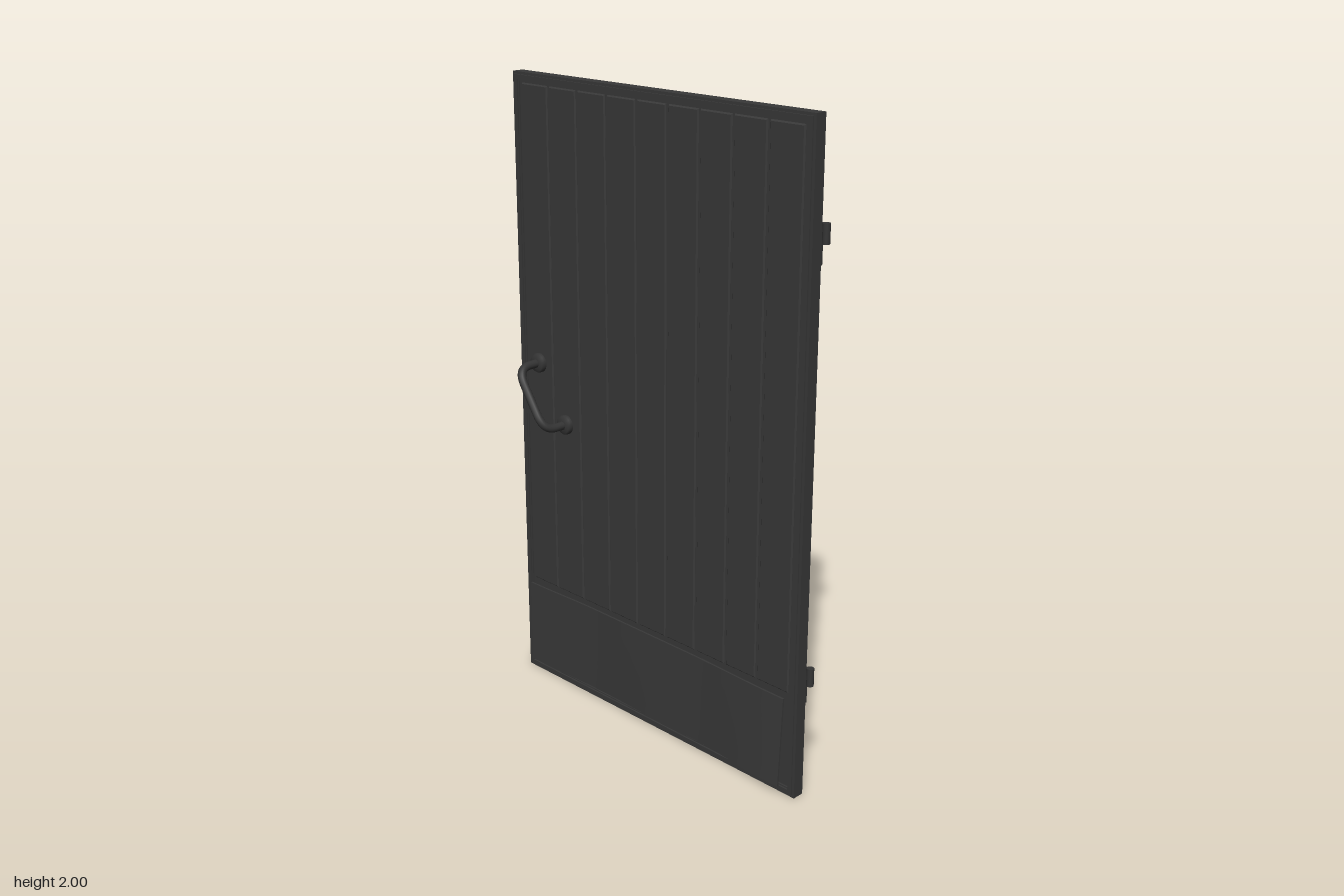
import * as THREE from 'three';

const mat = (name, color) => Object.assign(new THREE.MeshStandardMaterial({ color }), { name });

export function createModel() {
  const door = new THREE.Group();
  door.name = 'door';
  const paint = mat('charcoal paint', 0x383838);
  const iron = mat('dark iron', 0x343434);

  const add = (parent, name, geometry, material, x = 0, y = 0, z = 0) => {
    const mesh = new THREE.Mesh(geometry, material);
    mesh.name = name;
    mesh.position.set(x, y, z);
    parent.add(mesh);
    return mesh;
  };
  const rect = (path, x0, y0, x1, y1) => {
    path.moveTo(x0, y0);
    path.lineTo(x1, y0);
    path.lineTo(x1, y1);
    path.lineTo(x0, y1);
    path.closePath();
    return path;
  };
  // Board with chamfered edges, inset so the outline keeps its full size
  const board = (x0, y0, x1, y1, depth, bevel) =>
    new THREE.ExtrudeGeometry(rect(new THREE.Shape(), x0 + bevel, y0 + bevel, x1 - bevel, y1 - bevel), {
      depth, bevelThickness: bevel, bevelSize: bevel, bevelSegments: 1,
    });

  // Solid leaf of the door
  add(door, 'slab', new THREE.BoxGeometry(1.185, 2, 0.033), paint, -0.0125, 1, -0.0085);

  // Raised, stepped border around the front
  const border = (inset, width, depth) => {
    const x0 = -0.605 + inset, x1 = 0.58 - inset, y0 = inset, y1 = 2 - inset;
    const shape = rect(new THREE.Shape(), x0, y0, x1, y1);
    shape.holes.push(rect(new THREE.Path(), x0 + width, y0 + width, x1 - width, y1 - width));
    return new THREE.ExtrudeGeometry(shape, { depth, bevelEnabled: false });
  };
  add(door, 'outerBorder', border(0, 0.026, 0.005), paint, 0, 0, 0.008);
  add(door, 'innerBorder', border(0.008, 0.014, 0.005), paint, 0, 0, 0.013);

  // Vertical planks separated by narrow grooves
  const seams = [-0.573, -0.45, -0.325, -0.2, -0.075, 0.048, 0.171, 0.295, 0.42, 0.548];
  for (let i = 0; i < seams.length - 1; i++) {
    add(door, 'plank' + (i + 1),
      board(seams[i] + 0.004, 0.335, seams[i + 1] - 0.004, 1.968, 0.002, 0.004), paint, 0, 0, 0.007);
  }

  // Kick plate, bent away from the door toward its lower corners
  const plate = new THREE.BoxGeometry(1.11, 0.285, 0.006, 24, 6, 1);
  const p = plate.attributes.position;
  for (let i = 0; i < p.count; i++) {
    const u = p.getX(i) / 0.555;
    const drop = 0.5 - p.getY(i) / 0.285;
    const right = THREE.MathUtils.smoothstep(u, 0.3, 0.9);
    const left = THREE.MathUtils.smoothstep(-u, 0.45, 1);
    const belly = Math.exp(-Math.pow((u - 0.12) * 4, 2));
    p.setZ(i, p.getZ(i) + right * (0.008 + 0.015 * drop) + left * 0.01 + belly * 0.007 * drop);
  }
  plate.computeVertexNormals();
  add(door, 'kickPlate', plate, paint, -0.015, 0.178, 0.017);

  // Slanted pull handles, one on each face
  const ends = [[-0.515, 1.1], [-0.395, 0.922]];
  const [a, b] = ends;
  for (const [side, name] of [[1, 'frontHandle'], [-1, 'backHandle']]) {
    const handle = new THREE.Group();
    handle.name = name;
    door.add(handle);
    const zBase = side > 0 ? 0.01 : -0.024;
    const zTop = side > 0 ? 0.106 : -0.112;
    const at = (t, z) => new THREE.Vector3(a[0] + (b[0] - a[0]) * t, a[1] + (b[1] - a[1]) * t, z);
    const zMid = zTop - side * 0.05;
    const path = new THREE.CurvePath();
    path.add(new THREE.LineCurve3(at(0, zBase), at(0, zMid)));
    path.add(new THREE.QuadraticBezierCurve3(at(0, zMid), at(0, zTop), at(0.26, zTop)));
    path.add(new THREE.LineCurve3(at(0.26, zTop), at(0.74, zTop)));
    path.add(new THREE.QuadraticBezierCurve3(at(0.74, zTop), at(1, zTop), at(1, zMid)));
    path.add(new THREE.LineCurve3(at(1, zMid), at(1, zBase)));
    add(handle, 'grip', new THREE.TubeGeometry(path, 48, 0.0135, 12), iron);

    // Round mounting collars
    const profile = [[0.031, 0], [0.031, 0.011], [0.027, 0.017], [0.014, 0.019]]
      .map(([r, h]) => new THREE.Vector2(r, h));
    for (const [x, y] of ends) {
      const collar = add(handle, 'collar', new THREE.LatheGeometry(profile, 24), iron, x, y, side > 0 ? 0.013 : -0.023);
      collar.rotation.x = side * Math.PI / 2;
    }
  }

  // Hinges on the back right edge
  for (const [y, name] of [[1.715, 'upperHinge'], [0.42, 'lowerHinge']]) {
    const hinge = new THREE.Group();
    hinge.name = name;
    hinge.position.set(0, y, -0.028);
    door.add(hinge);
    add(hinge, 'leaf', new THREE.BoxGeometry(0.046, 0.115, 0.006), iron, 0.558, -0.0575, 0.002);
    add(hinge, 'tab', new THREE.BoxGeometry(0.02, 0.055, 0.006), iron, 0.584, -0.0275, 0.002);
    add(hinge, 'knuckle', new THREE.CylinderGeometry(0.011, 0.011, 0.056, 16), iron, 0.592, -0.028, 0);
  }
  return door;
}
